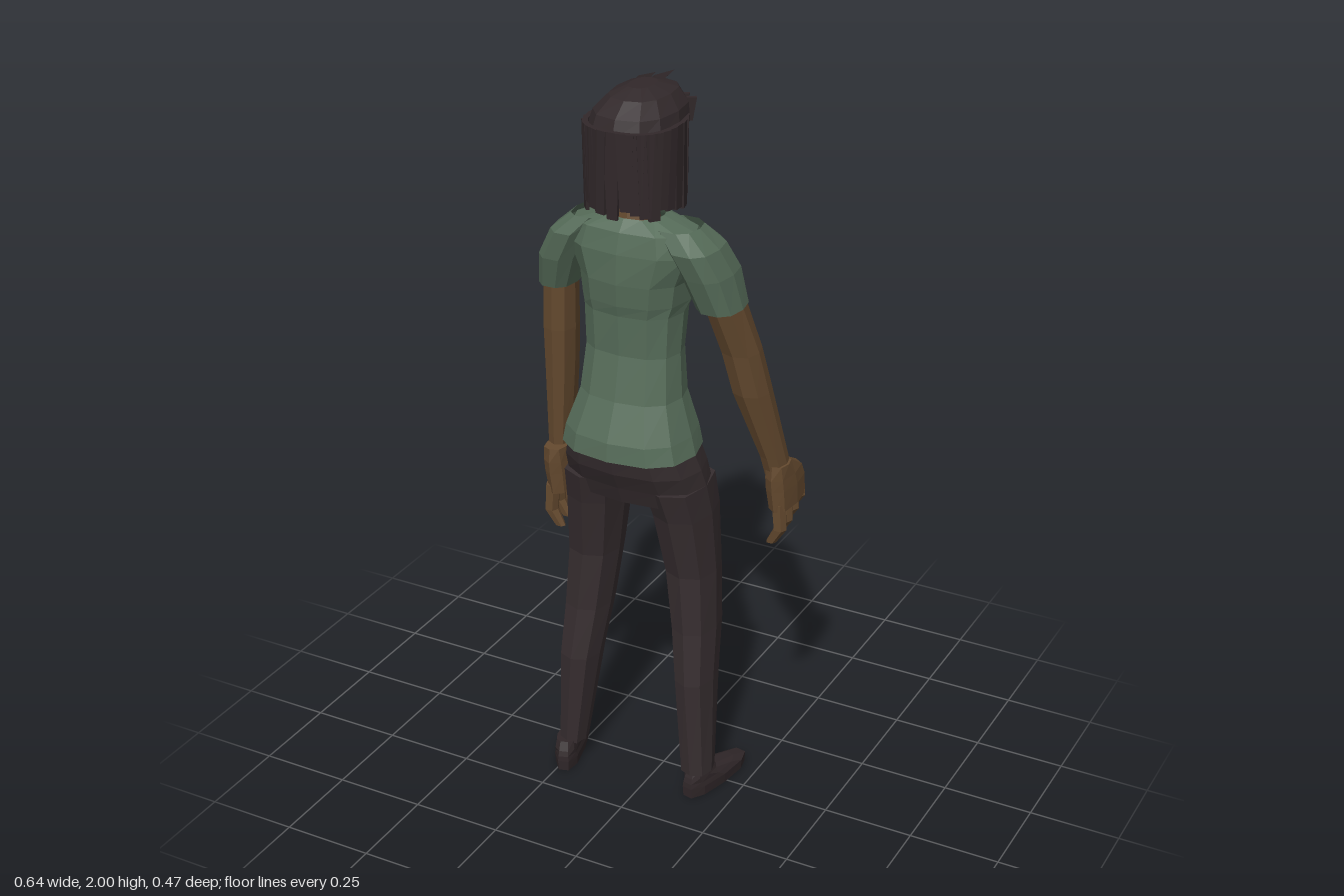
import * as THREE from 'three';

const mat = (name, color, side = THREE.FrontSide) =>
  Object.assign(new THREE.MeshStandardMaterial({ color, flatShading: true, side }), { name });

// Tube through horizontal rings, listed upwards as [y, xMin, xMax, zMin, zMax].
function loft(rings, { n = 12, p = 0.8, capped = true, from = 0, to = Math.PI * 2 } = {}) {
  const pos = [], idx = [];
  const bend = v => Math.sign(v) * Math.abs(v) ** p;
  rings.forEach(([y, x0, x1, z0, z1]) => {
    for (let j = 0; j <= n; j++) {
      const a = from + (to - from) * j / n;
      pos.push((x0 + x1) / 2 + bend(Math.cos(a)) * (x1 - x0) / 2, y,
        (z0 + z1) / 2 + bend(Math.sin(a)) * (z1 - z0) / 2);
    }
  });
  const w = n + 1;
  for (let i = 0; i < rings.length - 1; i++) {
    for (let j = 0; j < n; j++) {
      const a = i * w + j, c = a + w;
      idx.push(a, c, a + 1, a + 1, c, c + 1);
    }
  }
  if (capped) {
    const top = (rings.length - 1) * w;
    for (let j = 1; j < n - 1; j++) idx.push(0, j, j + 1, top, top + j + 1, top + j);
  }
  const g = new THREE.BufferGeometry();
  g.setAttribute('position', new THREE.Float32BufferAttribute(pos, 3));
  g.setIndex(idx);
  const flat = g.toNonIndexed();
  flat.computeVertexNormals();
  return flat;
}

export function createModel() {
  const root = new THREE.Group();
  root.name = 'standingPerson';
  const skin = mat('skin', 0x654a2f);
  const shirt = mat('shirtGreen', 0x566c59, THREE.DoubleSide);
  const trousers = mat('trousers', 0x362d2f);
  const hair = mat('hair', 0x31282a, THREE.DoubleSide);
  const shoe = mat('shoe', 0x302729);

  const add = (name, geo, material, parent = root) => {
    const m = new THREE.Mesh(geo, material);
    m.name = name;
    parent.add(m);
    return m;
  };

  // Shirt body, open at hem, overhanging at the chest
  add('shirtBody', loft([
    [1.05, -0.222, 0.145, -0.04, 0.24], [1.1, -0.212, 0.132, -0.04, 0.235],
    [1.2, -0.178, 0.1, -0.015, 0.195], [1.32, -0.168, 0.09, -0.01, 0.17],
    [1.43, -0.172, 0.095, -0.03, 0.175], [1.46, -0.18, 0.105, -0.075, 0.183],
    [1.52, -0.185, 0.115, -0.085, 0.19], [1.6, -0.22, 0.15, -0.05, 0.187],
    [1.655, -0.2, 0.135, 0.0, 0.175], [1.685, -0.11, 0.045, 0.02, 0.15],
  ], { capped: false }), shirt);

  // Sleeves
  add('leftSleeve', loft([
    [1.455, 0.13, 0.245, -0.035, 0.118], [1.55, 0.1, 0.225, -0.037, 0.15],
    [1.62, 0.07, 0.197, -0.01, 0.17], [1.668, 0.03, 0.145, 0.02, 0.15],
  ], { n: 10, capped: false }), shirt);
  add('rightSleeve', loft([
    [1.45, -0.31, -0.215, 0, 0.135], [1.54, -0.297, -0.18, -0.015, 0.165],
    [1.62, -0.255, -0.14, -0.005, 0.175], [1.668, -0.2, -0.1, 0.025, 0.155],
  ], { n: 10, capped: false }), shirt);

  // Arms
  const limb = { n: 8 };
  add('leftArm', loft([
    [0.94, 0.25, 0.315, -0.15, -0.07], [1.0, 0.243, 0.308, -0.135, -0.052],
    [1.2, 0.19, 0.285, -0.092, 0.018], [1.32, 0.17, 0.268, -0.064, 0.045],
    [1.47, 0.14, 0.236, -0.025, 0.095], [1.58, 0.11, 0.2, 0, 0.12],
  ], limb), skin);
  add('rightArm', loft([
    [0.94, -0.312, -0.256, 0, 0.085], [1.0, -0.312, -0.254, -0.005, 0.09],
    [1.2, -0.31, -0.235, 0.0, 0.105], [1.32, -0.308, -0.225, 0.01, 0.115],
    [1.47, -0.302, -0.22, 0.02, 0.12], [1.58, -0.275, -0.19, 0.03, 0.13],
  ], limb), skin);

  // Hands: palm, four curled fingers and a thumb
  function hand(name, x, z, s) {
    const g = new THREE.Group();
    g.name = name;
    g.position.set(x, 0, z);
    add('palm', loft([
      [0.84, -0.026, 0.036, -0.09, 0.075], [0.9, -0.034, 0.036, -0.088, 0.082],
      [0.935, -0.034, 0.034, -0.07, 0.085], [0.975, -0.03, 0.03, 0, 0.08],
    ], limb), skin, g);
    [0.738, 0.75, 0.768, 0.79].forEach((tip, i) => {
      const c = 0.05 - i * 0.038;
      add('finger', loft([
        [tip, -s * 0.012 - 0.014, -s * 0.012 + 0.014, c - 0.012, c + 0.012],
        [tip + 0.045, s * 0.014 - 0.018, s * 0.014 + 0.018, c - 0.02, c + 0.02],
        [0.86, s * 0.008 - 0.02, s * 0.008 + 0.02, c - 0.021, c + 0.021],
      ], { n: 6 }), skin, g);
    });
    add('thumb', loft([
      [0.81, -s * 0.028 - 0.01, -s * 0.028 + 0.01, -0.09, -0.062],
      [0.86, -s * 0.03 - 0.012, -s * 0.03 + 0.012, -0.088, -0.052],
      [0.92, -s * 0.02 - 0.014, -s * 0.02 + 0.014, -0.07, -0.025],
    ], { n: 6 }), skin, g);
    root.add(g);
  }
  hand('leftHand', 0.287, -0.14, 1);
  hand('rightHand', -0.279, 0.04, -1);

  // Trousers
  add('hips', loft([
    [0.9, -0.235, 0.162, -0.055, 0.165], [0.95, -0.234, 0.16, -0.052, 0.185],
    [1.0, -0.228, 0.153, -0.045, 0.21], [1.065, -0.21, 0.135, -0.03, 0.225],
  ]), trousers);
  add('leftLeg', loft([
    [0.075, 0.103, 0.188, 0.025, 0.125], [0.36, 0.08, 0.18, -0.02, 0.13],
    [0.51, 0.06, 0.176, -0.052, 0.115], [0.68, 0.038, 0.172, -0.057, 0.112],
    [0.86, 0.015, 0.167, -0.06, 0.15], [0.95, 0.0, 0.16, -0.05, 0.18],
  ], limb), trousers);
  add('rightLeg', loft([
    [0.075, -0.266, -0.197, 0.05, 0.145], [0.36, -0.263, -0.157, 0.01, 0.15],
    [0.51, -0.26, -0.137, -0.025, 0.128], [0.68, -0.252, -0.115, -0.045, 0.12],
    [0.86, -0.24, -0.088, -0.052, 0.155], [0.95, -0.234, -0.075, -0.05, 0.18],
  ], limb), trousers);

  // Shoes, turned outwards
  for (const [name, x, z, turn] of [['leftShoe', 0.152, 0.05, -0.2], ['rightShoe', -0.25, 0.1, 0.3]]) {
    const m = add(name, loft([
      [0, -0.036, 0.036, -0.172, 0.078], [0.03, -0.039, 0.039, -0.172, 0.08],
      [0.045, -0.035, 0.035, -0.12, 0.078], [0.06, -0.032, 0.032, -0.04, 0.072],
      [0.085, -0.028, 0.028, -0.015, 0.06],
    ], { n: 10 }), shoe);
    m.position.set(x, 0, z);
    m.rotation.y = turn;
  }

  // Neck and head
  add('neck', loft([
    [1.62, -0.1, 0.03, 0.02, 0.14], [1.69, -0.088, 0.015, 0.015, 0.125],
    [1.78, -0.08, 0.005, 0.005, 0.11],
  ], limb), skin);
  add('head', loft([
    [1.705, -0.068, -0.01, -0.07, 0.0], [1.725, -0.085, 0.008, -0.08, 0.05],
    [1.78, -0.112, 0.032, -0.086, 0.1], [1.86, -0.122, 0.042, -0.085, 0.13],
    [1.94, -0.112, 0.032, -0.065, 0.13],
  ]), skin);
  const nose = add('nose', new THREE.ConeGeometry(0.018, 0.055, 4), skin);
  nose.position.set(-0.04, 1.828, -0.088);
  add('mouth', new THREE.BoxGeometry(0.04, 0.008, 0.008), hair).position.set(-0.04, 1.768, -0.083);
  for (const s of [-1, 1]) {
    add('eye', new THREE.BoxGeometry(0.026, 0.011, 0.008), hair).position.set(-0.04 + s * 0.034, 1.848, -0.078);
    const brow = add('eyebrow', new THREE.BoxGeometry(0.034, 0.007, 0.008), hair);
    brow.position.set(-0.04 + s * 0.035, 1.873, -0.077);
    brow.rotation.z = -s * 0.12;
  }

  // Hair: crown, back curtain and overlapping locks
  add('hairCrown', loft([
    [1.9, -0.155, 0.076, -0.072, 0.193], [1.945, -0.143, 0.065, -0.086, 0.178],
    [1.98, -0.112, 0.036, -0.07, 0.135], [1.998, -0.07, -0.008, -0.01, 0.085],
  ]), hair);
  add('hairCurtain', loft([
    [1.725, -0.138, 0.058, -0.03, 0.183], [1.8, -0.153, 0.074, -0.05, 0.193],
    [1.905, -0.155, 0.076, -0.07, 0.193],
  ], { capped: false, from: -0.4, to: Math.PI + 0.4 }), hair);
  const locks = 19;
  for (let i = 0; i < locks; i++) {
    const a = -0.45 + (Math.PI + 0.9) * i / (locks - 1);
    const len = 0.2 + 0.025 * ((i * 7) % 4) / 3;
    const g = new THREE.CylinderGeometry(0.032, 0.02, len, 4, 1).rotateY(Math.PI / 4).scale(1, 1, 0.3);
    const m = add('hairLock', g, hair);
    const bend = v => Math.sign(v) * Math.abs(v) ** 0.8;
    m.position.set(-0.04 + 0.115 * bend(Math.cos(a)), 1.92 - len / 2, 0.07 + 0.122 * bend(Math.sin(a)));
    m.rotation.y = Math.atan2(Math.cos(a), Math.sin(a));
  }

  // Fringe falling over the forehead
  for (let i = 0; i < 7; i++) {
    const len = 0.06 + 0.02 * ((i * 5) % 3);
    const g = new THREE.CylinderGeometry(0.022, 0.008, len, 4, 1).rotateY(Math.PI / 4).scale(1, 1, 0.4);
    const m = add('fringeLock', g, hair);
    const t = (i - 3) / 3;
    m.position.set(-0.04 + t * 0.088, 1.95 - len / 2, -0.084 + 0.035 * t * t);
    m.rotation.y = t * 0.6;
  }

  // Stray tufts pointing forward
  for (const [x, len] of [[-0.095, 0.09], [-0.062, 0.11], [-0.02, 0.07]]) {
    const m = add('hairTuft', new THREE.ConeGeometry(0.017, len, 4), hair);
    m.position.set(x, 1.967, -0.025 - len / 2 - (len - 0.07));
    m.rotation.x = -Math.PI / 2;
  }
  return root;
}
